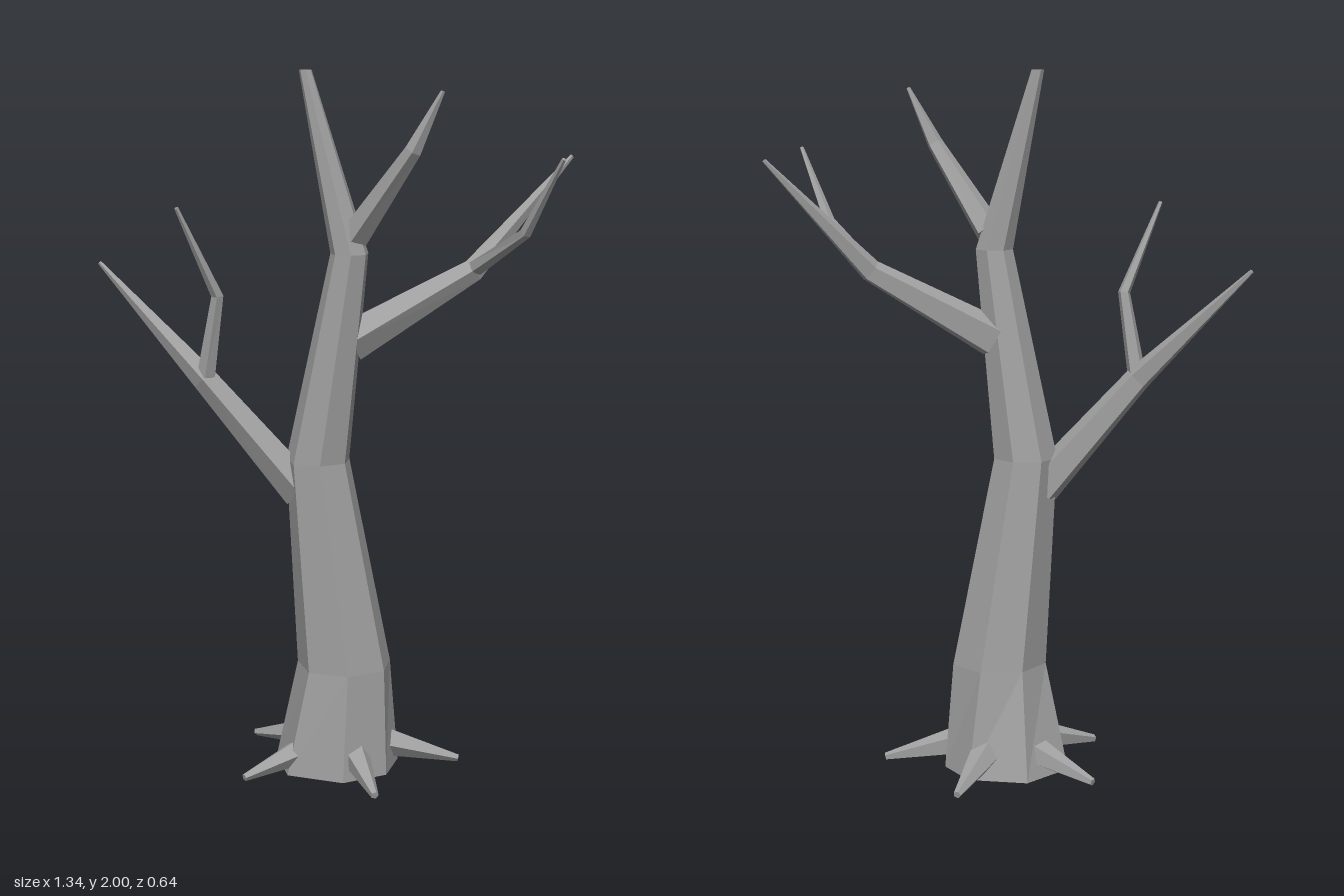
import * as THREE from 'three';

const bark = new THREE.MeshStandardMaterial({ color: 0xa0a0a0, flatShading: true });
bark.name = 'greyBark';

// Skins a list of equal-sized rings (each wound from z towards x, going along the limb) and caps both ends
function skin(name, rings) {
  const n = rings[0].length;
  const pos = [];
  const tri = (...pts) => pts.forEach(p => pos.push(p.x, p.y, p.z));
  for (let i = 0; i < rings.length - 1; i++) {
    for (let j = 0; j < n; j++) {
      const k = (j + 1) % n;
      const a = rings[i][j], b = rings[i][k], c = rings[i + 1][k], d = rings[i + 1][j];
      tri(a, b, c);
      tri(a, c, d);
    }
  }
  const first = rings[0], last = rings[rings.length - 1];
  for (let j = 1; j < n - 1; j++) {
    tri(first[0], first[j + 1], first[j]);
    tri(last[0], last[j], last[j + 1]);
  }
  const geo = new THREE.BufferGeometry();
  geo.setAttribute('position', new THREE.Float32BufferAttribute(pos, 3));
  geo.computeVertexNormals();
  const mesh = new THREE.Mesh(geo, bark);
  mesh.name = name;
  return mesh;
}

// Tapered limb through stations [x, y, z, radius], with rings square to the path
function limb(name, stations, sides = 5) {
  const pts = stations.map(s => new THREE.Vector3(s[0], s[1], s[2]));
  const rings = pts.map((p, i) => {
    const dir = new THREE.Vector3();
    if (i > 0) dir.add(p.clone().sub(pts[i - 1]).normalize());
    if (i < pts.length - 1) dir.add(pts[i + 1].clone().sub(p).normalize());
    dir.normalize();
    // u x v = dir keeps the sides facing outwards
    const v = new THREE.Vector3(0, 0, 1).addScaledVector(dir, -dir.z).normalize();
    const u = new THREE.Vector3().crossVectors(v, dir);
    return Array.from({ length: sides }, (_, j) => {
      const a = (j / sides) * Math.PI * 2 + 0.3;
      return p.clone()
        .addScaledVector(u, Math.cos(a) * stations[i][3])
        .addScaledVector(v, Math.sin(a) * stations[i][3]);
    });
  });
  return skin(name, rings);
}

export function createModel() {
  const tree = new THREE.Group();
  tree.name = 'bareTree';

  // Seven-sided crooked trunk: [x, y, z, radius]
  const even = Array.from({ length: 7 }, (_, j) => -45 + j * 360 / 7);
  const foot = [-47, 9, 55, 101, 145, 201, 257];
  const trunk = [
    [0.01, 0.005, 0.003, 0.182],
    [0.035, 0.31, 0.02, 0.137],
    [-0.04, 0.91, 0.03, 0.092],
    [0.05, 1.5, 0.068, 0.054],
    [-0.073, 2.0, 0.045, 0.018],
  ];
  tree.add(skin('trunk', trunk.map(([x, y, z, r], i) =>
    (i ? even : foot).map(deg => {
      const a = THREE.MathUtils.degToRad(deg);
      return new THREE.Vector3(x + Math.sin(a) * r, y, z + Math.cos(a) * r);
    }))));

  // Large branches and the twigs forking off them
  tree.add(
    limb('rightBranch', [[-0.085, 0.82, 0.03, 0.058], [-0.36, 1.14, 0.02, 0.038], [-0.668, 1.455, -0.075, 0.006]]),
    limb('rightTwig', [[-0.355, 1.15, 0.03, 0.027], [-0.318, 1.38, 0.06, 0.018], [-0.42, 1.63, 0.138, 0.006]]),
    limb('leftBranch', [[0.05, 1.25, 0.035, 0.06], [0.39, 1.445, -0.025, 0.034], [0.667, 1.757, -0.135, 0.006]]),
    limb('leftTwig', [[0.4, 1.455, -0.01, 0.024], [0.53, 1.57, 0.16, 0.017], [0.622, 1.775, 0.273, 0.006]]),
    limb('upperBranch', [[0.065, 1.55, 0.075, 0.042], [0.225, 1.79, 0.185, 0.024], [0.303, 1.948, 0.203, 0.006]]),
  );

  // Five roots spreading round the foot
  for (let i = 0; i < 5; i++) {
    const a = (i / 5) * Math.PI * 2;
    const at = (d, y, r) => [0.03 + Math.cos(a) * d, y, Math.sin(a) * d, r];
    tree.add(limb('root', [at(0.11, 0.075, 0.046), at(0.335, 0.022, 0.011)]));
  }
  return tree;
}
